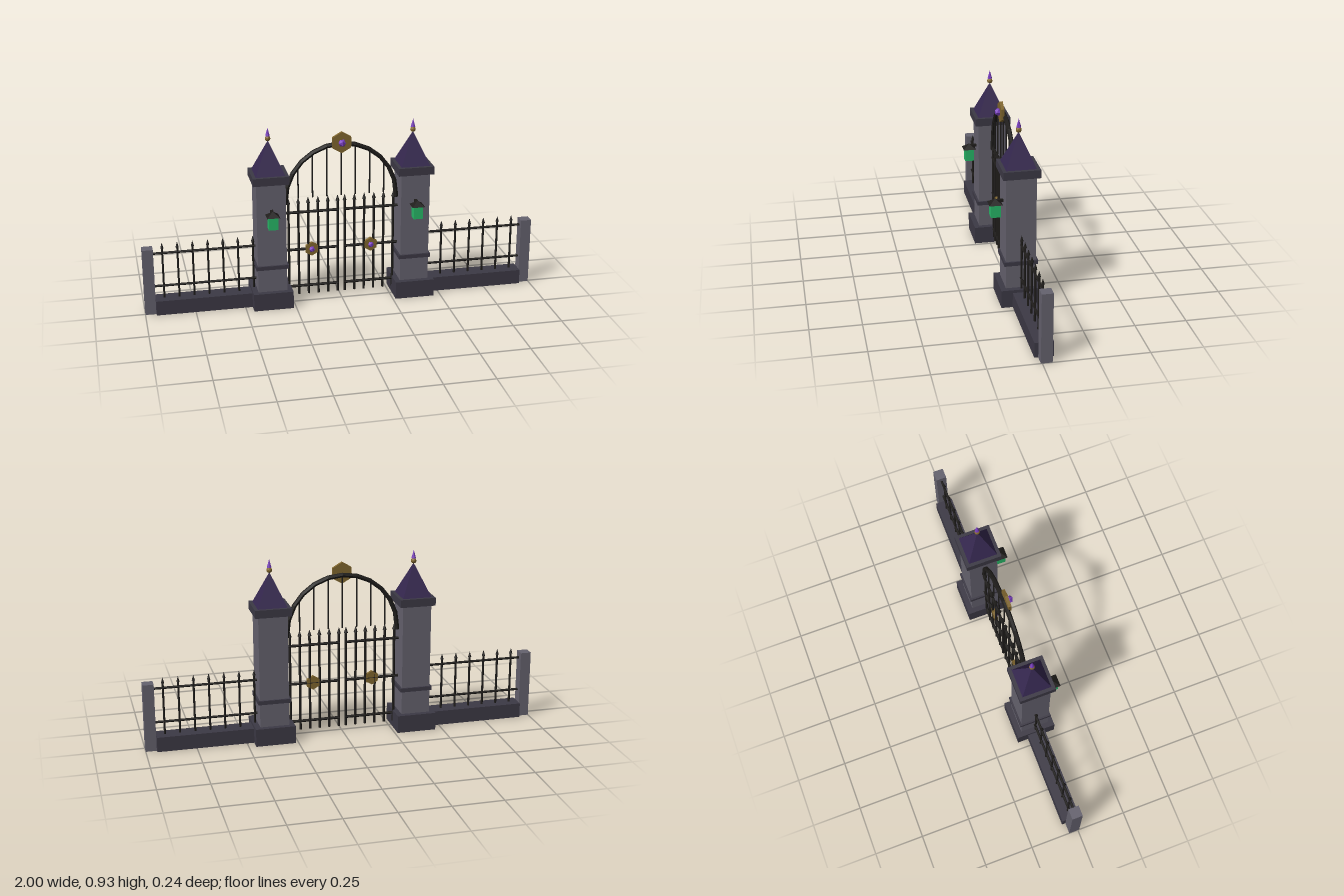
import * as THREE from 'three';

const Z = -0.02; // centre plane of the fence line

const mat = (color) => new THREE.MeshStandardMaterial({ color, flatShading: true });

export function createModel() {
  const root = new THREE.Group();
  root.name = 'gateway';
  const stone = mat(0x65626e), darkStone = mat(0x3c3945), slate = mat(0x35274f);
  const iron = mat(0x1f1d1b), gold = mat(0x80662e), gem = mat(0x7a3fc0), glow = mat(0x28b868);

  const add = (parent, name, geo, material, x, y, z) => {
    const m = new THREE.Mesh(geo, material);
    m.name = name;
    m.position.set(x, y, z);
    parent.add(m);
    return m;
  };
  const group = (parent, name) => {
    const g = new THREE.Group();
    g.name = name;
    parent.add(g);
    return g;
  };
  // Box standing on y0
  const block = (parent, name, material, x, z, w, d, y0, y1) =>
    add(parent, name, new THREE.BoxGeometry(w, y1 - y0, d), material, x, (y0 + y1) / 2, z);
  // Square pyramid with sides along the axes
  const pyramid = (parent, name, material, x, z, w, y0, y1) =>
    add(parent, name, new THREE.ConeGeometry(w / Math.SQRT2, y1 - y0, 4).rotateY(Math.PI / 4),
      material, x, (y0 + y1) / 2, z);
  // Upright bar, optionally with a spear tip
  const bar = (parent, name, x, y0, y1, r, tip = 0) => {
    const top = y1 - tip;
    add(parent, name, new THREE.CylinderGeometry(r, r, top - y0, 6), iron, x, (top + y0) / 2, Z);
    if (tip) add(parent, name + 'Tip', new THREE.ConeGeometry(r * 1.6, tip, 6), iron, x, top + tip / 2, Z);
  };
  const rail = (parent, name, xa, xb, y, r) =>
    add(parent, name, new THREE.CylinderGeometry(r, r, Math.abs(xb - xa), 6).rotateZ(Math.PI / 2),
      iron, (xa + xb) / 2, y, Z);
  // Hexagonal boss with a faceted gem on its front
  const medallion = (parent, name, x, y, z, r, depth, gemR, gemZ) => {
    const g = group(parent, name);
    add(g, 'boss', new THREE.CylinderGeometry(r, r, depth, 6).rotateX(Math.PI / 2), gold, x, y, z);
    add(g, 'gem', new THREE.IcosahedronGeometry(gemR, 0), gem, x, y, gemZ);
  };

  for (const s of [1, -1]) {
    const side = s > 0 ? 'left' : 'right';

    // Pillar with spire and finial
    const px = s * 0.364;
    const pillar = group(root, side + 'Pillar');
    block(pillar, 'plinth', darkStone, px, Z, 0.2, 0.2, 0, 0.09);
    block(pillar, 'shaft', stone, px, Z, 0.146, 0.146, 0.09, 0.657);
    block(pillar, 'band', darkStone, px, Z, 0.164, 0.164, 0.21, 0.23);
    block(pillar, 'cap', darkStone, px, Z, 0.18, 0.18, 0.657, 0.697);
    pyramid(pillar, 'spire', slate, px, Z, 0.146, 0.697, 0.86);
    add(pillar, 'finialBall', new THREE.IcosahedronGeometry(0.014, 1), gold, px, 0.87, Z);
    add(pillar, 'finialCrystal', new THREE.ConeGeometry(0.012, 0.042, 6), gem, px, 0.904, Z);

    // Lantern on the front of the pillar
    const lantern = group(root, side + 'Lantern');
    block(lantern, 'bracket', iron, px, 0.068, 0.014, 0.046, 0.514, 0.527);
    block(lantern, 'lanternGlass', glow, px, 0.092, 0.047, 0.047, 0.443, 0.508);
    pyramid(lantern, 'lanternRoof', iron, px, 0.092, 0.064, 0.507, 0.532);

    // Low wall, end post and railing
    const fence = group(root, side + 'Fence');
    block(fence, 'lowWall', darkStone, s * 0.69, Z, 0.51, 0.09, 0, 0.075);
    block(fence, 'endPost', stone, s * 0.973, Z, 0.054, 0.054, 0, 0.345);
    for (const y of [0.14, 0.315]) rail(fence, 'fenceRail', s * 0.42, s * 0.95, y, 0.006);
    for (let i = 0; i < 7; i++) bar(fence, 'fencePicket', s * (0.45 + i * 0.075), 0.07, 0.37, 0.0055, 0.03);

    // Gate leaf
    const leaf = group(root, side + 'GateLeaf');
    for (const y of [0.075, 0.275, 0.475]) rail(leaf, 'gateRail', s * 0.014, s * 0.292, y, 0.007);
    for (let i = 0; i < 6; i++) bar(leaf, 'gatePicket', s * (0.018 + i * 0.05), 0.03, 0.555, 0.0065, 0.032);
    medallion(leaf, 'gateMedallion', s * 0.152, 0.275, Z + 0.002, 0.036, 0.016, 0.016, -0.008);
  }

  // Overhead arch with hanging bars
  const arch = group(root, 'arch');
  const R = 0.281, cy = 0.54;
  const path = new THREE.CurvePath();
  const pt = (i) => new THREE.Vector3(R * Math.cos((i * Math.PI) / 12), cy + R * Math.sin((i * Math.PI) / 12), Z);
  for (let i = 0; i < 12; i++) path.add(new THREE.LineCurve3(pt(i), pt(i + 1)));
  add(arch, 'archBar', new THREE.TubeGeometry(path, 12, 0.012, 6), iron, 0, 0, 0);
  for (const s of [1, -1]) // close the arch ends
    add(arch, 'archFoot', new THREE.CylinderGeometry(0.012, 0.012, 0.02, 6), iron, s * R, cy - 0.008, Z);
  for (let i = -3; i <= 3; i++) {
    const x = i * 0.0725;
    bar(arch, 'archBaluster', x, 0.55, cy + Math.sqrt(R * R - x * x), 0.004);
  }
  medallion(arch, 'archMedallion', 0, 0.83, -0.008, 0.054, 0.016, 0.02, 0.006);

  return root;
}
